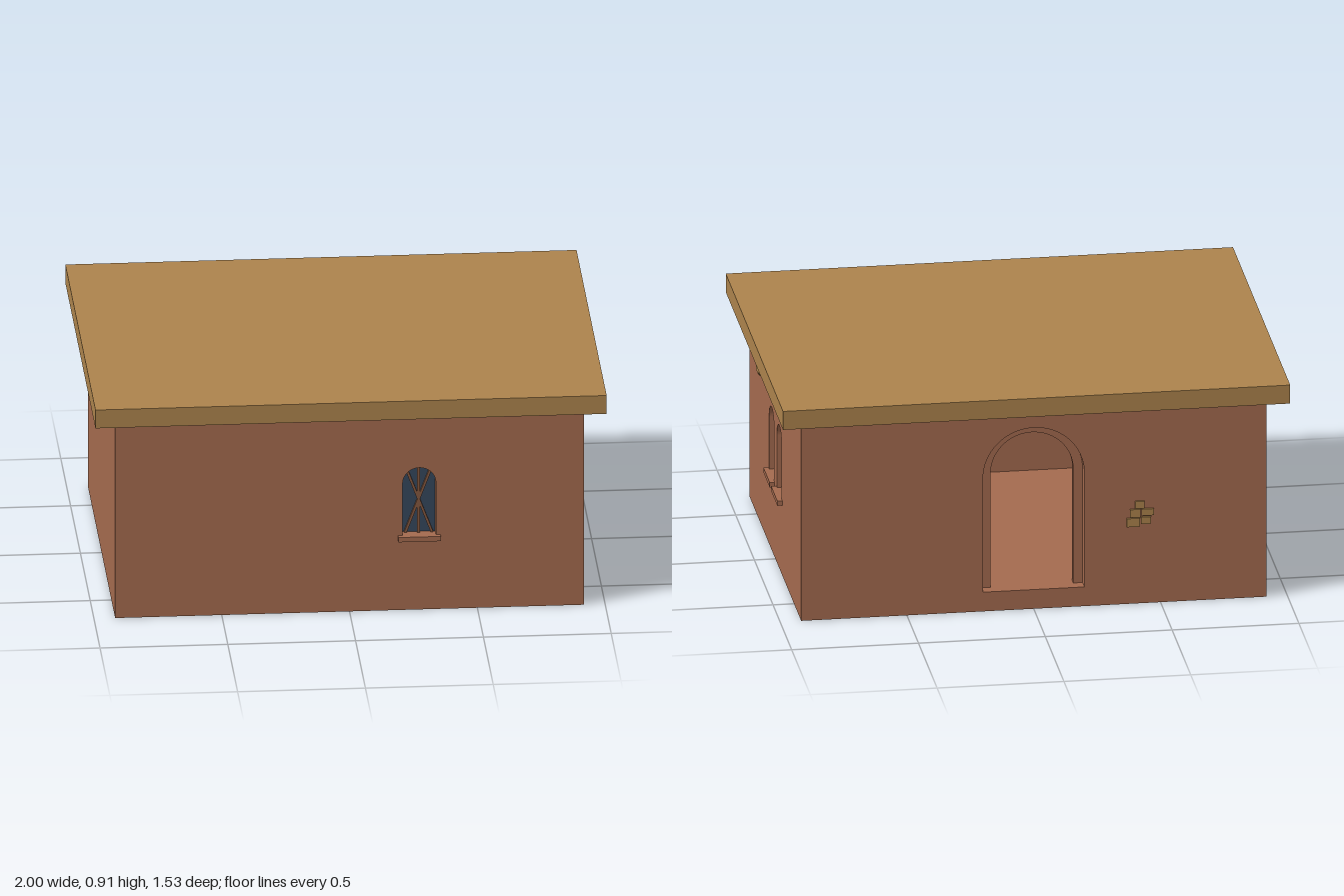
import * as THREE from 'three';

const W = 1.834, D = 1.38, H = 0.83, T = 0.077;
const mat = (color) => new THREE.MeshStandardMaterial({ color });
const clay = mat(0xa56b4f), tan = mat(0xad844d), glass = mat(0x36475c), wood = mat(0x85583f);

function add(parent, name, geometry, material, x = 0, y = 0, z = 0) {
  const m = new THREE.Mesh(geometry, material);
  m.name = name;
  m.position.set(x, y, z);
  parent.add(m);
  return m;
}

// Round-headed outline standing on y0, centred on u
function arch(path, u, r, y0, top) {
  path.moveTo(u - r, y0);
  path.lineTo(u + r, y0);
  path.lineTo(u + r, top - r);
  path.absarc(u, top - r, r, 0, Math.PI, false);
  path.lineTo(u - r, y0);
  return path;
}

const extrude = (shape, depth) =>
  new THREE.ExtrudeGeometry(shape, { depth, bevelEnabled: false, curveSegments: 20 });

const WIN = { r: 0.065, y0: 0.31, top: 0.595 };
const DOOR = { r: 0.2, y0: 0.08, top: 0.755 };

// Wall panel: local x runs right as seen from outside, outer face at z = 0
function wall(name, width, openings) {
  const g = new THREE.Group();
  g.name = name;
  const s = new THREE.Shape();
  s.moveTo(-width / 2, 0);
  s.lineTo(width / 2, 0);
  s.lineTo(width / 2, H);
  s.lineTo(-width / 2, H);
  s.closePath();
  for (const { u, r, y0, top } of openings) s.holes.push(arch(new THREE.Path(), u, r, y0, top));
  add(g, name + 'Panel', extrude(s, T), clay, 0, 0, -T);
  return g;
}

// Glazed window with crossed bars and a projecting sill
function addWindow(parent, u) {
  const g = new THREE.Group();
  g.name = 'window';
  g.position.x = u;
  parent.add(g);
  const pane = arch(new THREE.Shape(), 0, WIN.r, WIN.y0, WIN.top);
  add(g, 'windowGlass', extrude(pane, 0.01), glass, 0, 0, -0.055);
  const mid = (WIN.y0 + WIN.top) / 2;
  add(g, 'windowMullion', new THREE.BoxGeometry(0.012, WIN.top - WIN.y0, 0.016), wood, 0, mid, -0.041);
  for (const s of [-1, 1]) {
    const bar = add(g, 'windowCrossBar', new THREE.BoxGeometry(0.01, 0.3, 0.014), wood, 0, mid - 0.003, -0.041);
    bar.rotation.z = s * 0.36;
  }
  add(g, 'windowSill', new THREE.BoxGeometry(0.166, 0.02, 0.04), clay, 0, 0.302, 0);
}

// Cluster of exposed bricks: [left, right, bottom, top]
const BRICKS = [
  [-0.021, 0.016, 0.697, 0.726],
  [-0.041, 0, 0.66, 0.693], [0.004, 0.053, 0.666, 0.693],
  [-0.054, -0.002, 0.621, 0.656], [0.002, 0.041, 0.631, 0.66],
];
function addBricks(parent, u, dy) {
  const g = new THREE.Group();
  g.name = 'exposedBricks';
  g.position.set(u, dy, 0);
  parent.add(g);
  for (const [l, r, b, t] of BRICKS)
    add(g, 'brick', new THREE.BoxGeometry(r - l, t - b, 0.02), tan, (l + r) / 2, (b + t) / 2, 0);
}

// Stepped frame set back inside the doorway
function addDoorFrame(parent) {
  const { r, y0, top } = DOOR, ri = r - 0.037, spring = top - r;
  const s = new THREE.Shape();
  s.moveTo(ri, y0);
  s.lineTo(r, y0);
  s.lineTo(r, spring);
  s.absarc(0, spring, r, 0, Math.PI, false);
  s.lineTo(-r, y0);
  s.lineTo(-ri, y0);
  s.lineTo(-ri, spring);
  s.absarc(0, spring, ri, Math.PI, 0, true);
  s.closePath();
  add(parent, 'doorFrame', extrude(s, 0.028), clay, 0, 0, -T);
}

export function createModel() {
  const house = new THREE.Group();
  house.name = 'house';

  // Floor and overhanging flat roof
  add(house, 'floor', new THREE.BoxGeometry(W - 2 * T, 0.08, D - 2 * T), clay, 0, 0.04, 0);
  add(house, 'roof', new THREE.BoxGeometry(2, T, 1.535), tan, 0, H + T / 2, 0);

  // Front wall with one window
  const front = wall('frontWall', W, [{ u: 0.273, ...WIN }]);
  front.position.z = D / 2;
  addWindow(front, 0.273);

  // Back wall with the open doorway
  const back = wall('backWall', W, [{ u: 0, ...DOOR }]);
  back.position.z = -D / 2;
  back.rotation.y = Math.PI;
  addDoorFrame(back);
  addBricks(back, 0.42, -0.298);

  // Side walls, one with a pair of windows
  const pair = [-0.103, 0.103];
  const left = wall('leftWall', D - 2 * T, pair.map((u) => ({ u, ...WIN })));
  left.position.x = W / 2;
  left.rotation.y = Math.PI / 2;
  pair.forEach((u) => addWindow(left, u));
  addBricks(left, -0.395, 0);

  const right = wall('rightWall', D - 2 * T, []);
  right.position.x = -W / 2;
  right.rotation.y = -Math.PI / 2;

  house.add(front, back, left, right);
  return house;
}
